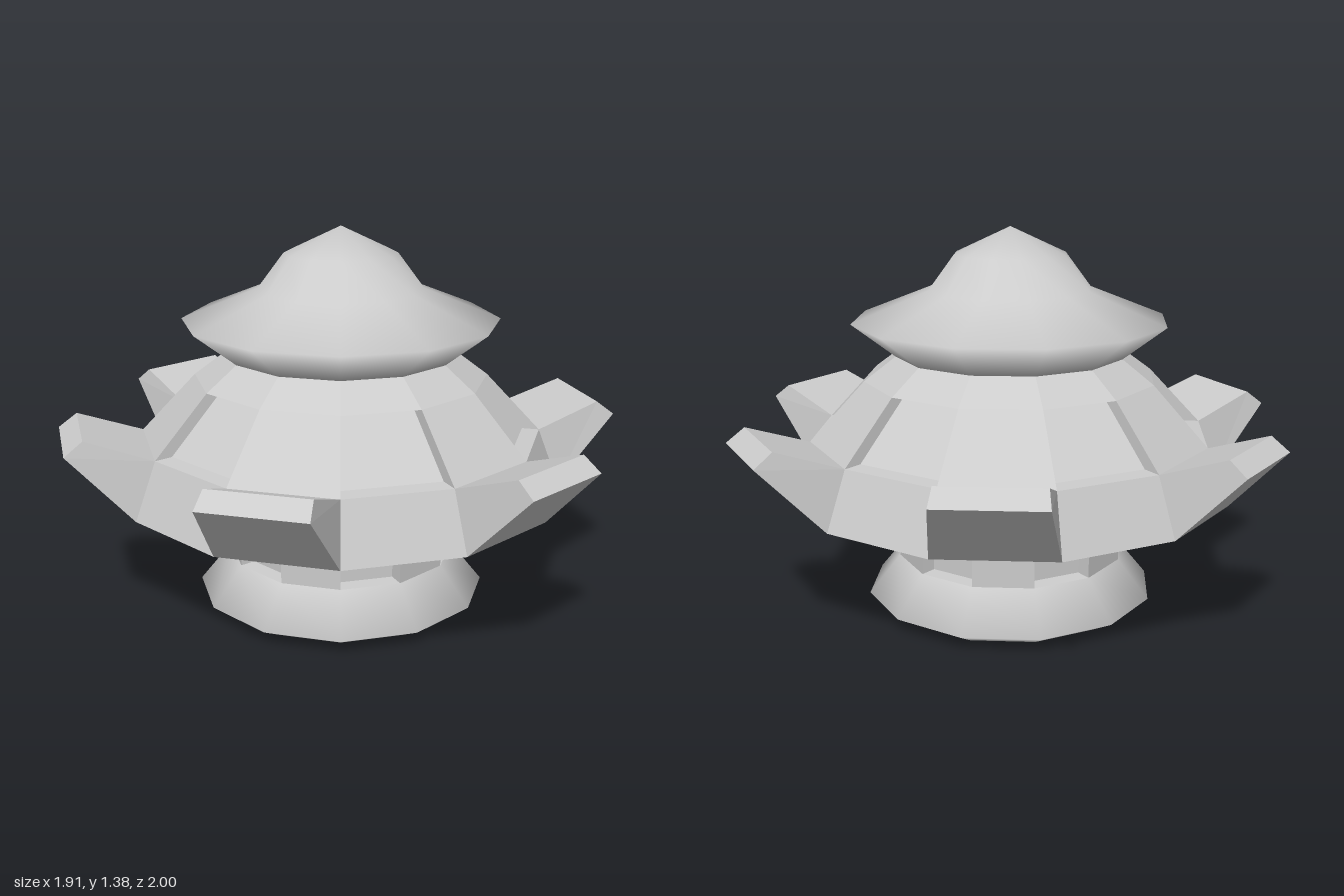
import * as THREE from 'three';
import { mergeVertices } from 'three/addons/utils/BufferGeometryUtils.js';

const SIDES = 12;
const HALF = Math.PI / SIDES;
const smooth = new THREE.MeshStandardMaterial({ color: 0xcccccc });
const faceted = new THREE.MeshStandardMaterial({ color: 0xcccccc, flatShading: true });

// Smooth twelve-sided turned part; profile radii are measured to the flats
function turned(name, profile) {
  const pts = profile.map(([a, y]) => new THREE.Vector2(a / Math.cos(HALF), y));
  let geo = new THREE.LatheGeometry(pts, SIDES, HALF);
  geo.deleteAttribute('uv');
  geo.deleteAttribute('normal');
  geo = mergeVertices(geo, 1e-4);
  geo.computeVertexNormals();
  const mesh = new THREE.Mesh(geo, smooth);
  mesh.name = name;
  return mesh;
}

// One of the twelve body wedges: a strip up the profile [distance, y, half width],
// plus flat side walls that close the profile spans [from, to]
function wedge(profile, walls) {
  const pos = [];
  const corner = ([a, y, w = a * Math.tan(HALF)], side) => [side * w, y, a];
  const quad = (a, b, c, d) => pos.push(...a, ...b, ...c, ...a, ...c, ...d);
  for (let i = 0; i < profile.length - 1; i++) {
    const p = profile[i], q = profile[i + 1];
    quad(corner(p, -1), corner(p, 1), corner(q, 1), corner(q, -1));
  }
  for (const [from, to] of walls) {
    const span = profile.slice(from, to + 1);
    quad(...span.map((p) => corner(p, -1)));
    quad(...span.map((p) => corner(p, 1)).reverse());
  }
  const geo = new THREE.BufferGeometry();
  geo.setAttribute('position', new THREE.Float32BufferAttribute(pos, 3));
  geo.computeVertexNormals();
  return geo;
}

export function createModel() {
  const model = new THREE.Group();
  model.name = 'pagodaPod';

  // Rounded foot with a flat underside
  model.add(turned('base', [[0, 0], [0.42, 0], [0.51, 0.05], [0.4, 0.19]]));

  // Wedge with neck rib, upturned arm and shoulder
  const armWedge = wedge([
    [0.4, 0.19], [0.4, 0.29], [0.775, 0.435],
    [1.0, 0.675, 0.18], [0.935, 0.725, 0.172],
    [0.7, 0.64], [0.51, 0.85], [0.4, 0.935],
  ], [[2, 5]]);

  // Wedge with a recessed neck window and a recessed shoulder panel
  const panelWedge = wedge([
    [0.4, 0.19], [0.35, 0.195], [0.35, 0.285], [0.4, 0.29],
    [0.775, 0.435], [0.7, 0.64], [0.64, 0.645], [0.465, 0.842],
    [0.51, 0.85], [0.4, 0.935],
  ], [[0, 3], [5, 8]]);

  // Arms and panels alternate around the body
  const body = new THREE.Group();
  body.name = 'body';
  for (let i = 0; i < SIDES; i++) {
    const isArm = i % 2 === 0;
    const mesh = new THREE.Mesh(isArm ? armWedge : panelWedge, faceted);
    mesh.name = isArm ? 'armSection' : 'panelSection';
    mesh.rotation.y = i * 2 * HALF;
    body.add(mesh);
  }
  model.add(body);

  // Hat-shaped roof
  model.add(turned('roof', [
    [0.4, 0.935], [0.55, 1.055], [0.285, 1.165], [0.195, 1.29], [0, 1.385],
  ]));

  return model;
}
